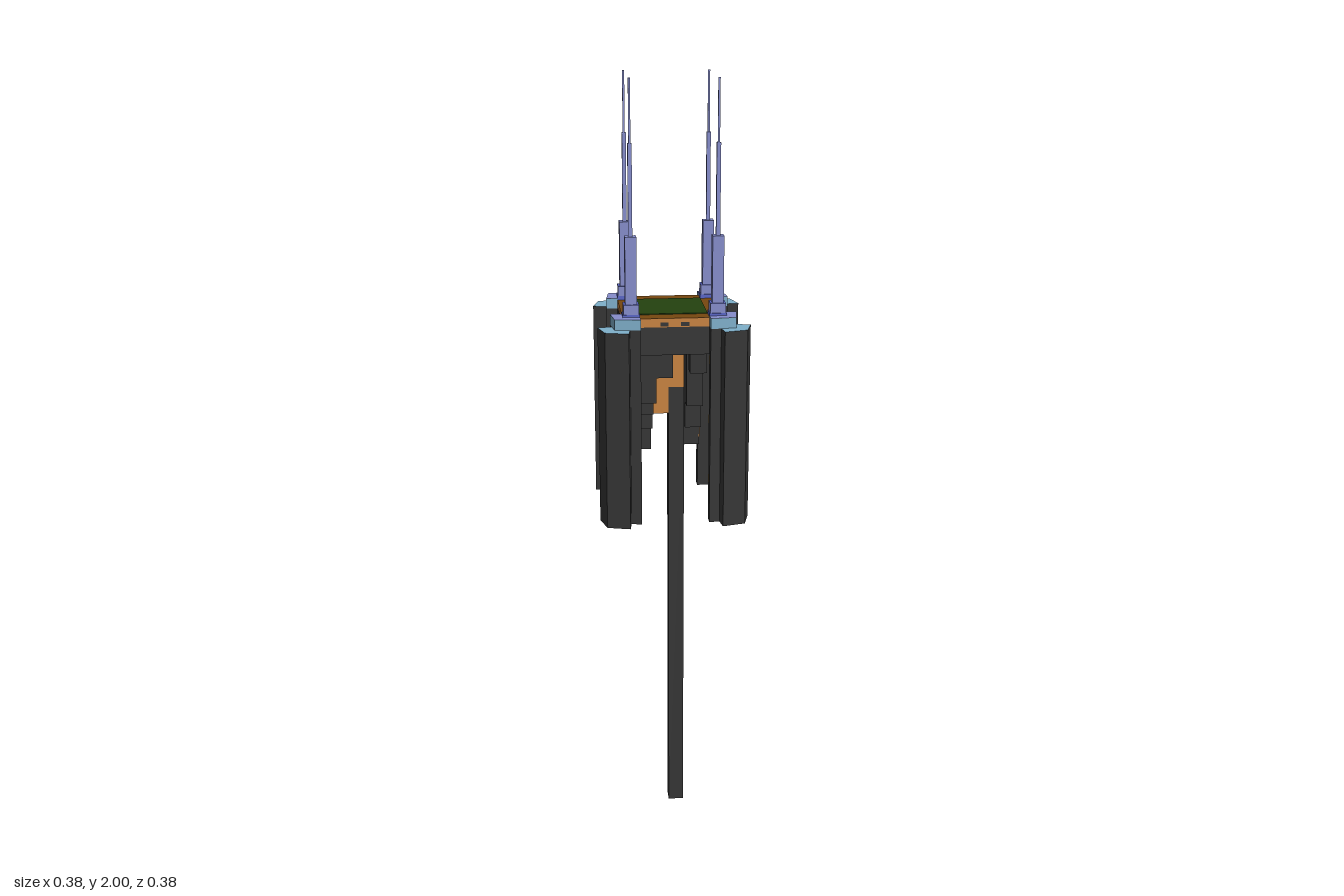
import * as THREE from 'three';

const mat = (name, color) => {
  const m = new THREE.MeshStandardMaterial({ color });
  m.name = name;
  return m;
};

export function createModel() {
  const stone = mat('dark stone', 0x363636);
  const brown = mat('brown rim', 0x77470f);
  const orange = mat('orange wood', 0xc98441);
  const gold = mat('golden wood', 0xc8860b);
  const green = mat('dark green', 0x24420f);
  const sky = mat('light blue', 0x7fb0cb);
  const lavender = mat('lavender', 0x868dcc);
  const blue = mat('blue', 0x5a66c8);

  const root = new THREE.Group();
  const C = 0.0423; // cell size of the hanging grid

  // Box given by its limits on each axis
  function box(name, x0, x1, y0, y1, z0, z1, material, parent = root) {
    const mesh = new THREE.Mesh(new THREE.BoxGeometry(x1 - x0, y1 - y0, z1 - z0), material);
    mesh.position.set((x0 + x1) / 2, (y0 + y1) / 2, (z0 + z1) / 2);
    mesh.name = name;
    parent.add(mesh);
    return mesh;
  }

  // Upright prism over a plan outline of [x, z] points, mirrored by sx and sz
  function prism(name, pts, sx, sz, y0, y1, cap, side, parent) {
    const shape = new THREE.Shape(pts.map(([x, z]) => new THREE.Vector2(sx * x, -sz * z)));
    const geo = new THREE.ExtrudeGeometry(shape, { depth: y1 - y0, bevelEnabled: false });
    geo.rotateX(-Math.PI / 2);
    const mesh = new THREE.Mesh(geo, [cap, side]);
    mesh.position.y = y0;
    mesh.name = name;
    parent.add(mesh);
  }

  // Platform: stone slab, wooden rim, green floor
  const R = 3 * C, G = 2 * C;
  box('slab', -R, R, 1.34, 1.41, -R, R, stone);
  box('rim', -R, R, 1.41, 1.432, -R, R, [orange, orange, brown, stone, orange, orange]);
  box('floor', -G, G, 1.431, 1.434, -G, G, green);
  for (const s of [-1, 1]) {
    for (const i of [-1, 1]) {
      const c = i * C * 0.6;
      box('rimNotch', c - 0.01, c + 0.01, 1.412, 1.422, s * R - 0.001, s * R + 0.001, stone);
      box('rimNotch', s * R - 0.001, s * R + 0.001, 1.412, 1.422, c - 0.01, c + 0.01, stone);
    }
  }

  // Hanging columns: grid column, grid row, lower end
  const hanging = [
    [1, 0, 1.03], [4, 0, 1.04],
    [1, 1, 1.1], [4, 1, 1.1],
    [1, 2, 1.15], [2, 2, 1.27], [4, 2, 1.17],
    [1, 3, 1.23], [2, 3, 1.27],
    [1, 4, 1.205], [2, 4, 1.27], [4, 4, 1.28],
    [0, 4, 1.3],
  ];
  const at = (i) => (i - 3) * C;
  for (const [i, j, y] of hanging) {
    box('hangingColumn', at(i), at(i + 1), y, 1.34, at(j), at(j + 1), stone);
  }

  // Long pole with wooden blocks around its top
  box('pole', 0, C * 0.95, 0, 1.21, -2 * C, -C, stone);
  box('poleHead', 0, C * 0.95, 1.21, 1.34, -2 * C, -C, [gold, gold, stone, stone, orange, gold]);
  box('woodBlock', -C, 0, 1.14, 1.27, -2 * C, -C, [gold, gold, stone, stone, orange, gold]);
  box('blockNeck', -C, 0, 1.27, 1.34, -2 * C, -C, stone);
  box('woodPanel', -0.001, 0.001, 1.28, 1.34, 0, C, gold);
  box('woodPanel', 2 * C - 0.001, 2 * C + 0.001, 1.06, 1.22, -3 * C, -2 * C, orange);

  // Corner towers: an L-shaped wall, an outer buttress and a stepped spire
  const wall = [[0.085, 0.127], [0.085, 0.156], [0.148, 0.148], [0.156, 0.085], [0.127, 0.085], [0.127, 0.127]];
  const buttress = [[0.111, 0.153], [0.116, 0.188], [0.173, 0.173], [0.188, 0.116], [0.153, 0.111], [0.148, 0.148]];
  const tiers = [
    [0.021, 1.432, 1.442, blue, blue],
    [0.019, 1.442, 1.466, blue, lavender],
    [0.014, 1.466, 1.63, lavender, lavender],
    [0.005, 1.63, 1.85, lavender, lavender],
    [0.0025, 1.85, 2.0, lavender, lavender],
  ];
  for (const sx of [-1, 1]) {
    for (const sz of [-1, 1]) {
      const tower = new THREE.Group();
      tower.name = 'cornerTower';
      root.add(tower);
      prism('wall', wall, sx, sz, 0.91, 1.41, stone, stone, tower);
      prism('wallCap', wall, sx, sz, 1.41, 1.436, lavender, sky, tower);
      prism('buttress', buttress, sx, sz, 0.91, 1.41, sky, stone, tower);
      // Wooden lining inside the front towers
      if (sz > 0) {
        const x = sx * 0.106;
        box('lining', x - 0.021, x + 0.021, 0.91, 1.34, 0.1255, 0.1275, gold, tower);
      }
      const x = sx * 0.106, z = sz * 0.106;
      for (const [r, y0, y1, top, side] of tiers) {
        box('spireTier', x - r, x + r, y0, y1, z - r, z + r, [side, side, top, side, side, side], tower);
      }
    }
  }
  return root;
}
